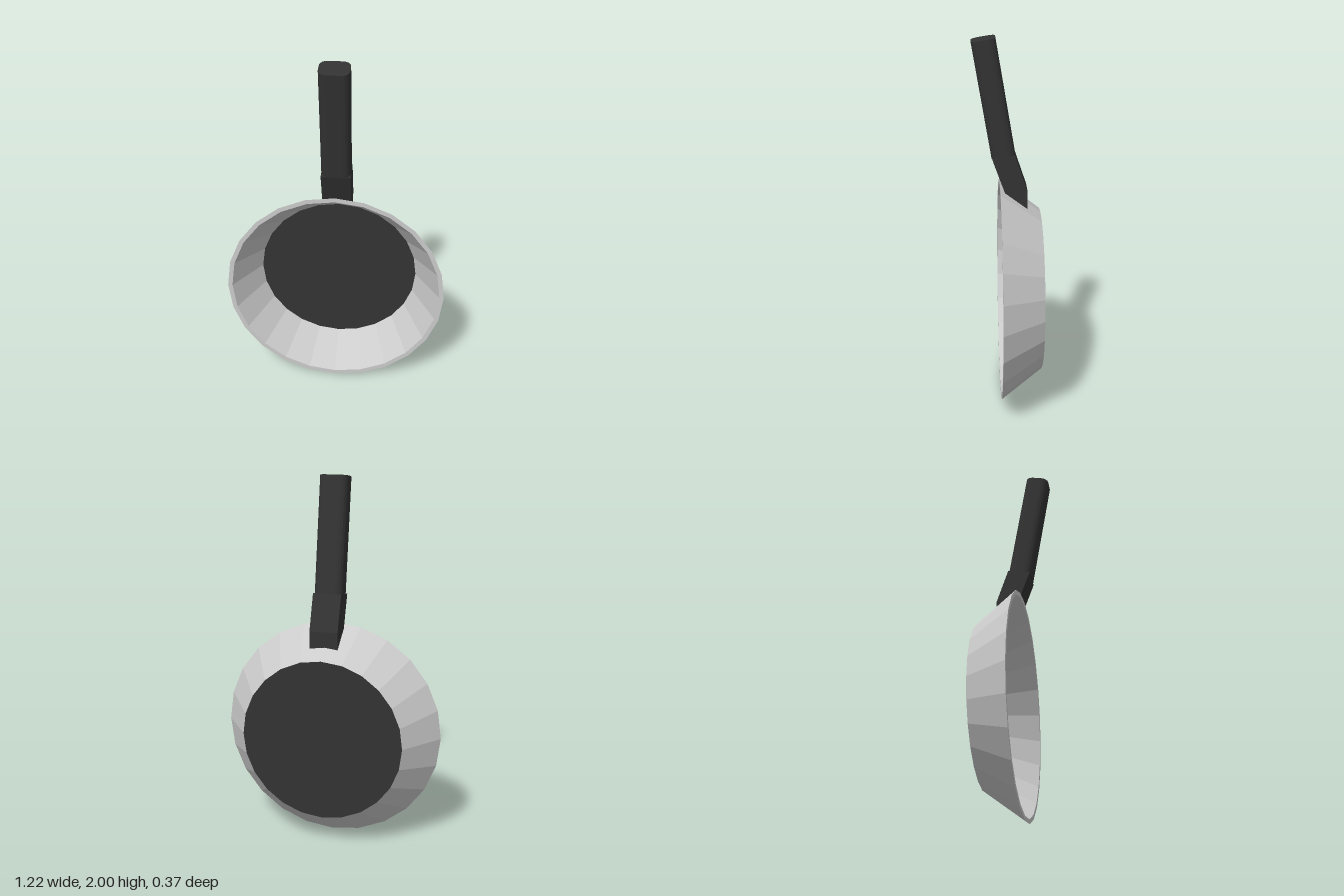
import * as THREE from 'three';

const SIDES = 24;
const PAN_Y = 0.61;      // height of the pan's centre
const HANDLE_X = 0.0075; // the handle sits slightly off centre
const WIDTH = 0.155;

const steel = new THREE.MeshStandardMaterial({ color: 0xcccccc, flatShading: true });
const dark = new THREE.MeshStandardMaterial({ color: 0x333333, flatShading: true });

function mesh(name, geometry, material) {
  const m = new THREE.Mesh(geometry, material);
  m.name = name;
  return m;
}

// Turned part whose axis points to the front: profile is [radius, z]
function turned(name, profile, material) {
  const points = profile.map(([r, z]) => new THREE.Vector2(r, z));
  const m = mesh(name, new THREE.LatheGeometry(points, SIDES).rotateX(Math.PI / 2), material);
  m.position.y = PAN_Y;
  return m;
}

// Rectangle with rounded corners, centred on the origin
function roundedRect(w, h, r) {
  const s = new THREE.Shape();
  const x = w / 2 - r, y = h / 2 - r;
  s.absarc(x, y, r, 0, Math.PI / 2);
  s.absarc(-x, y, r, Math.PI / 2, Math.PI);
  s.absarc(-x, -y, r, Math.PI, Math.PI * 1.5);
  s.absarc(x, -y, r, Math.PI * 1.5, Math.PI * 2);
  return s;
}

export function createModel() {
  const group = new THREE.Group();
  group.name = 'fryingPan';

  // Flared wall with a thin flat rim
  group.add(turned('panWall', [[0.445, -0.185], [0.61, 0.035], [0.585, 0.035], [0.445, -0.181]], steel));

  // Dark base plate, seen inside and underneath
  group.add(turned('panBase', [[0, -0.185], [0.445, -0.185], [0.445, -0.181], [0, -0.181]], dark));

  // Bent neck joining the wall to the grip: side outline as [z, y]
  const outline = [[0.075, 1.37], [0.01, 1.19], [-0.11, 1.1], [-0.11, 1.195], [-0.045, 1.388]];
  const neckShape = new THREE.Shape(outline.map(([z, y]) => new THREE.Vector2(-z, y)));
  const neckGeometry = new THREE.ExtrudeGeometry(neckShape, { depth: WIDTH, bevelEnabled: false });
  neckGeometry.translate(0, 0, -WIDTH / 2).rotateY(Math.PI / 2);
  const neck = mesh('handleNeck', neckGeometry, dark);
  neck.position.x = HANDLE_X;
  group.add(neck);

  // Straight grip, leaning forward
  const gripGeometry = new THREE.ExtrudeGeometry(roundedRect(WIDTH, 0.127, 0.04), {
    depth: 0.62, bevelEnabled: false, curveSegments: 2,
  });
  gripGeometry.rotateX(-Math.PI / 2);
  const grip = mesh('handleGrip', gripGeometry, dark);
  grip.position.set(HANDLE_X, 1.378, 0.016);
  grip.rotation.x = 0.167;
  group.add(grip);

  return group;
}
